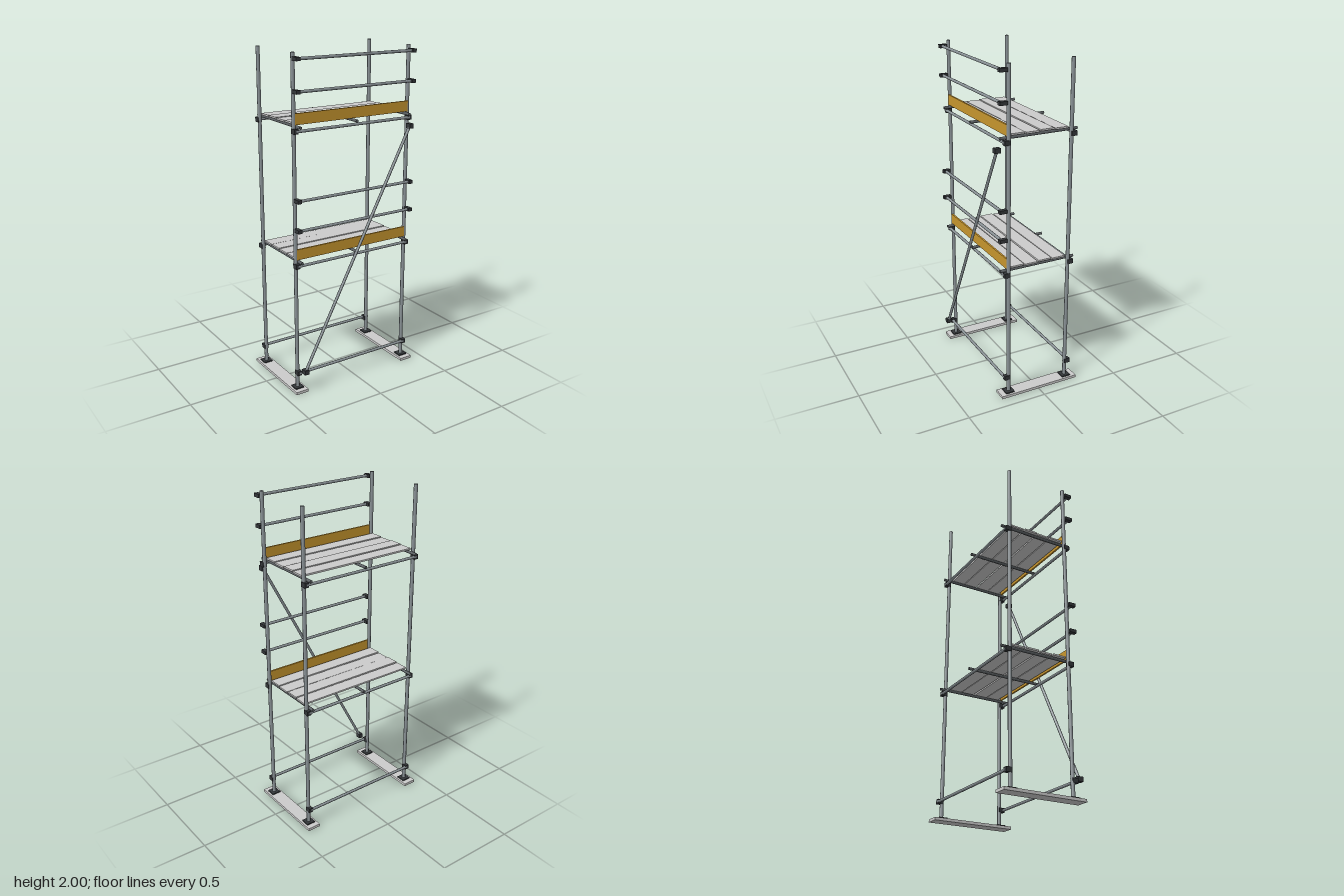
import * as THREE from 'three';

const mat = (color) => new THREE.MeshStandardMaterial({ color });

export function createModel() {
  const model = new THREE.Group();
  const steel = mat(0x8a9296), clamp = mat(0x333639), plank = mat(0xcccccc), ochre = mat(0xc8962e);
  const bearer = mat(0x5c6164);

  const box = (name, material, size, pos) => {
    const mesh = new THREE.Mesh(new THREE.BoxGeometry(...size), material);
    mesh.position.set(...pos);
    mesh.name = name;
    model.add(mesh);
    return mesh;
  };

  // Round tube running between two points
  const tube = (name, material, radius, from, to) => {
    const a = new THREE.Vector3(...from), b = new THREE.Vector3(...to);
    const dir = b.clone().sub(a);
    const mesh = new THREE.Mesh(new THREE.CylinderGeometry(radius, radius, dir.length(), 8), material);
    mesh.position.copy(a).add(b).multiplyScalar(0.5);
    mesh.quaternion.setFromUnitVectors(new THREE.Vector3(0, 1, 0), dir.normalize());
    mesh.name = name;
    model.add(mesh);
  };

  const X = 0.388, FRONT = 0.187, BACK = -0.203;
  const levels = [0.797, 1.577];

  // Sole boards, base plates and upright standards
  for (const x of [-X, X]) {
    box('soleBoard', plank, [0.082, 0.017, 0.51], [x, 0.0085, -0.008]);
    for (const z of [FRONT, BACK]) {
      box('basePlate', clamp, [0.056, 0.007, 0.056], [x, 0.0205, z]);
      tube('standard', steel, 0.0118, [x, 0.02, z], [x, 2, z]);
    }
  }

  // Ledgers along both long sides, with a coupler at each end
  for (const y of [0.118, ...levels]) {
    for (const [z, out] of [[FRONT, 1], [BACK, -1]]) {
      const zl = z + out * 0.023;
      tube('ledger', steel, 0.009, [-X, y, zl], [X, y, zl]);
      for (const x of [-X, X]) box('ledgerCoupler', clamp, [0.026, 0.028, 0.036], [x, y, z + out * 0.012]);
    }
  }

  levels.forEach((y) => {
    // Transoms carrying the deck
    for (const x of [-0.371, 0, 0.371]) {
      tube('transom', bearer, 0.009, [x, y + 0.022, -0.248], [x, y + 0.022, 0.234]);
    }

    // Four deck planks, laid very slightly uneven
    [-0.142, -0.0515, 0.038, 0.1285].forEach((z, i) => {
      const board = box('deckPlank', plank, [0.772, 0.01, 0.083], [i % 2 ? -0.001 : 0.001, y + 0.037 + (i % 2) * 0.003, z]);
      board.rotation.y = (i % 2 ? 1 : -1) * 0.002;
    });

    // Toe board on the front edge
    box('toeBoard', ochre, [0.776, 0.063, 0.011], [0, y + 0.065, 0.192]);

    // Two guard rails with end couplers
    for (const rise of [0.217, 0.391]) {
      tube('guardRail', steel, 0.009, [-X, y + rise, 0.228], [X, y + rise, 0.228]);
      for (const x of [-X, X]) box('guardRailCoupler', clamp, [0.026, 0.021, 0.046], [x, y + rise, 0.223]);
    }
  });

  // Diagonal brace across the front
  const ends = [[-0.366, 0.138, 0.247], [0.366, 1.535, 0.247]];
  tube('diagonalBrace', steel, 0.009, ...ends);
  for (const end of ends) box('braceCoupler', clamp, [0.028, 0.028, 0.035], end);

  return model;
}
